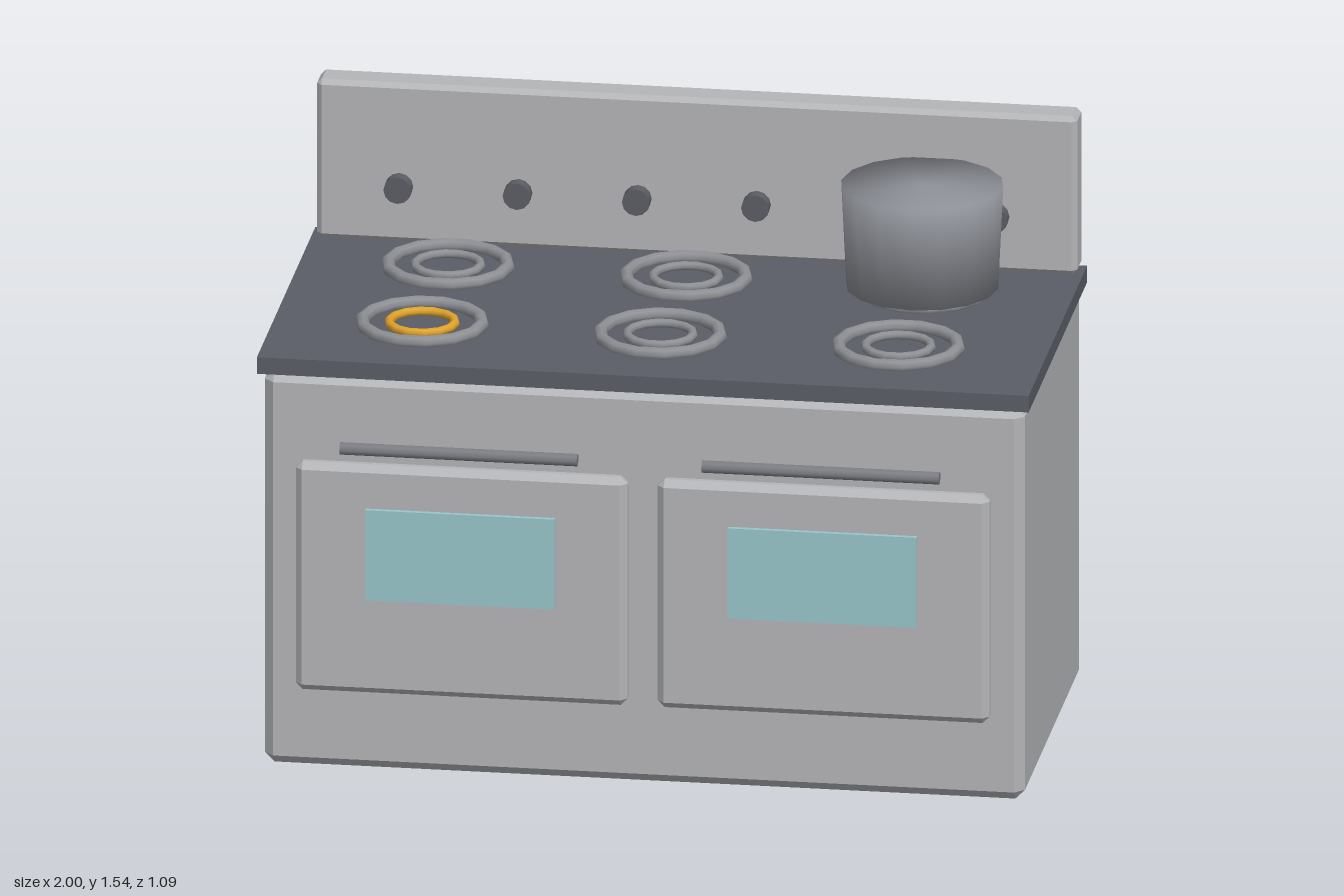
import * as THREE from 'three';
import { ConvexGeometry } from 'three/addons/geometries/ConvexGeometry.js';

function material(name, color) {
  const m = new THREE.MeshStandardMaterial({ color });
  m.name = name;
  return m;
}

// Box with every edge and corner cut flat by c
function chamferBox(w, h, d, c) {
  const points = [];
  for (const x of [-w / 2, w / 2]) for (const y of [-h / 2, h / 2]) for (const z of [-d / 2, d / 2]) {
    const sx = Math.sign(x) * c, sy = Math.sign(y) * c, sz = Math.sign(z) * c;
    points.push(
      new THREE.Vector3(x, y - sy, z - sz),
      new THREE.Vector3(x - sx, y, z - sz),
      new THREE.Vector3(x - sx, y - sy, z));
  }
  return new ConvexGeometry(points);
}

export function createModel() {
  const model = new THREE.Group();
  model.name = 'stove';
  const enamel = material('enamel grey', 0xb4b5b8);
  const slate = material('cooktop slate', 0x5a5d66);
  const knobGrey = material('knob grey', 0x5c5e65);
  const steel = material('ring steel', 0x8e9095);
  const handleSteel = material('handle steel', 0x7c7e84);
  const potSteel = material('pot steel', 0x8e9198);
  const glass = material('window glass', 0x97c6ca);
  const hot = material('hot orange', 0xe0a42c);

  function add(name, geometry, mat, x, y, z, parent = model) {
    const mesh = new THREE.Mesh(geometry, mat);
    mesh.name = name;
    mesh.position.set(x, y, z);
    parent.add(mesh);
    return mesh;
  }

  // Cabinet, cooktop and backsplash
  add('body', chamferBox(1.97, 1.065, 0.985, 0.025), enamel, 0, 0.5325, -0.0275);
  add('cooktop', new THREE.BoxGeometry(2, 0.045, 1.01), slate, 0, 1.0875, -0.0275);
  add('backsplash', chamferBox(1.97, 0.43, 0.095, 0.013), enamel, 0, 1.325, -0.4975);

  // Two oven doors, each with a window and a bar handle
  const doorShape = chamferBox(0.86, 0.62, 0.06, 0.018);
  const windowShape = new THREE.BoxGeometry(0.49, 0.245, 0.02);
  const handleShape = new THREE.CylinderGeometry(0.017, 0.017, 0.615, 8).rotateZ(Math.PI / 2);
  for (const side of [-1, 1]) {
    const door = new THREE.Group();
    door.name = side > 0 ? 'leftDoor' : 'rightDoor';
    door.position.x = side * 0.469;
    model.add(door);
    add('doorPanel', doorShape, enamel, 0, 0.525, 0.467, door);
    add('doorWindow', windowShape, glass, 0, 0.598, 0.5, door);
    add('doorHandle', handleShape, handleSteel, 0, 0.892, 0.528, door);
  }

  // Six burners, the front right one glowing
  const outerRing = new THREE.TorusGeometry(0.155, 0.0175, 8, 14).rotateX(Math.PI / 2);
  const innerRing = new THREE.TorusGeometry(0.085, 0.012, 8, 14).rotateX(Math.PI / 2);
  for (const x of [-0.617, 0, 0.617]) for (const z of [-0.27, 0.175]) {
    const burner = new THREE.Group();
    burner.name = 'burner';
    burner.position.set(x, 1.12, z);
    model.add(burner);
    add('outerRing', outerRing, steel, 0, 0, 0, burner);
    add('innerRing', innerRing, x < 0 && z > 0 ? hot : steel, 0, 0, 0, burner);
  }

  // Row of control knobs
  const knobShape = new THREE.CylinderGeometry(0.036, 0.036, 0.045, 12).rotateX(Math.PI / 2);
  for (let i = 0; i < 6; i++) {
    add('knob', knobShape, knobGrey, -0.77 + i * 0.309, 1.262, -0.4365);
  }

  // Pot, slightly flared, closed on top and softly shaded over its edges
  const potProfile = [[0, 0], [0.197, 0], [0.21, 0.275], [0, 0.275]].map(([r, y]) => new THREE.Vector2(r, y));
  add('pot', new THREE.LatheGeometry(potProfile, 16), potSteel, 0.615, 1.136, -0.25);

  return model;
}
